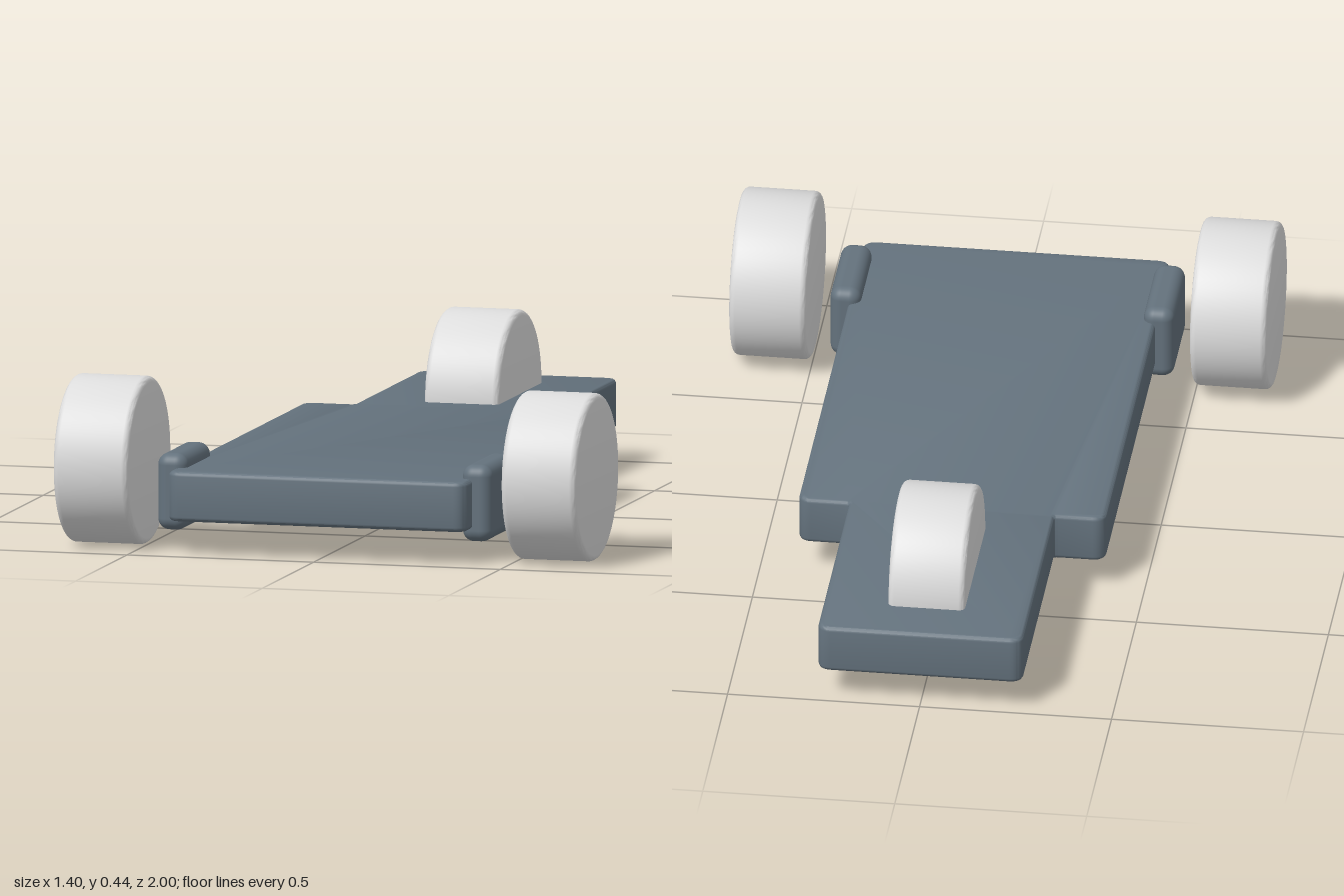
import * as THREE from 'three';
import { toCreasedNormals } from 'three/addons/utils/BufferGeometryUtils.js';
import { RoundedBoxGeometry } from 'three/addons/geometries/RoundedBoxGeometry.js';

const slate = new THREE.MeshStandardMaterial({ name: 'slate', color: 0x64727d });
const lightGrey = new THREE.MeshStandardMaterial({ name: 'lightGrey', color: 0xdcdcdc });

function addMesh(parent, name, geometry, material, x = 0, y = 0, z = 0) {
  const mesh = new THREE.Mesh(geometry, material);
  mesh.name = name;
  mesh.position.set(x, y, z);
  parent.add(mesh);
  return mesh;
}

// Stepped deck outline with rounded corners, extruded upwards
function deckGeometry() {
  const bevel = 0.012, bottom = 0.09, top = 0.22;
  const wide = 0.4 - bevel, narrow = 0.267 - bevel;
  const front = -0.978 + bevel, step = 0.355 - bevel, back = 1 - bevel;
  const half = [[wide, front], [wide, step], [narrow, step], [narrow, back]];
  const corners = [...half, ...half.map(([x, y]) => [-x, y]).reverse()]
    .map(([x, y]) => new THREE.Vector2(x, y));
  const r = 0.022;
  const shape = new THREE.Shape();
  corners.forEach((c, i) => {
    const prev = corners[(i + corners.length - 1) % corners.length];
    const next = corners[(i + 1) % corners.length];
    const a = c.clone().add(prev.clone().sub(c).setLength(r));
    const b = c.clone().add(next.clone().sub(c).setLength(r));
    if (i === 0) shape.moveTo(a.x, a.y);
    else shape.lineTo(a.x, a.y);
    shape.quadraticCurveTo(c.x, c.y, b.x, b.y);
  });
  shape.closePath();
  const geometry = new THREE.ExtrudeGeometry(shape, {
    depth: top - bottom - 2 * bevel, bevelEnabled: true, bevelSize: bevel,
    bevelThickness: bevel, bevelSegments: 4, curveSegments: 6,
  });
  geometry.rotateX(-Math.PI / 2);
  geometry.translate(0, bottom + bevel, 0);
  return toCreasedNormals(geometry, 0.6);
}

// Solid wheel with softly rounded rims, axle along x
function wheelGeometry(radius, width) {
  const h = width / 2, r = 0.016;
  const points = [new THREE.Vector2(0, -h)];
  for (const side of [-1, 1]) {
    for (let i = 0; i <= 4; i++) {
      const a = side * (side < 0 ? 1 - i / 4 : i / 4) * Math.PI / 2;
      points.push(new THREE.Vector2(radius - r + r * Math.cos(a), side * (h - r) + r * Math.sin(a)));
    }
  }
  points.push(new THREE.Vector2(0, h));
  return toCreasedNormals(new THREE.LatheGeometry(points, 64).rotateZ(Math.PI / 2), 0.6);
}

export function createModel() {
  const model = new THREE.Group();
  model.name = 'threeWheeledChassis';

  addMesh(model, 'deck', deckGeometry(), slate);

  // Front wheels and their mounting pads, mirrored
  const wheel = wheelGeometry(0.218, 0.2);
  const pad = new RoundedBoxGeometry(0.08, 0.2, 0.262, 5, 0.03);
  for (const [side, label] of [[1, 'left'], [-1, 'right']]) {
    addMesh(model, label + 'MountingPad', pad, slate, side * 0.408, 0.156, 0.778);
    addMesh(model, label + 'FrontWheel', wheel, lightGrey, side * 0.6, 0.22, 0.782);
  }

  // Single rear wheel set through the deck
  addMesh(model, 'rearWheel', wheel, lightGrey, 0, 0.22, -0.65);

  return model;
}
